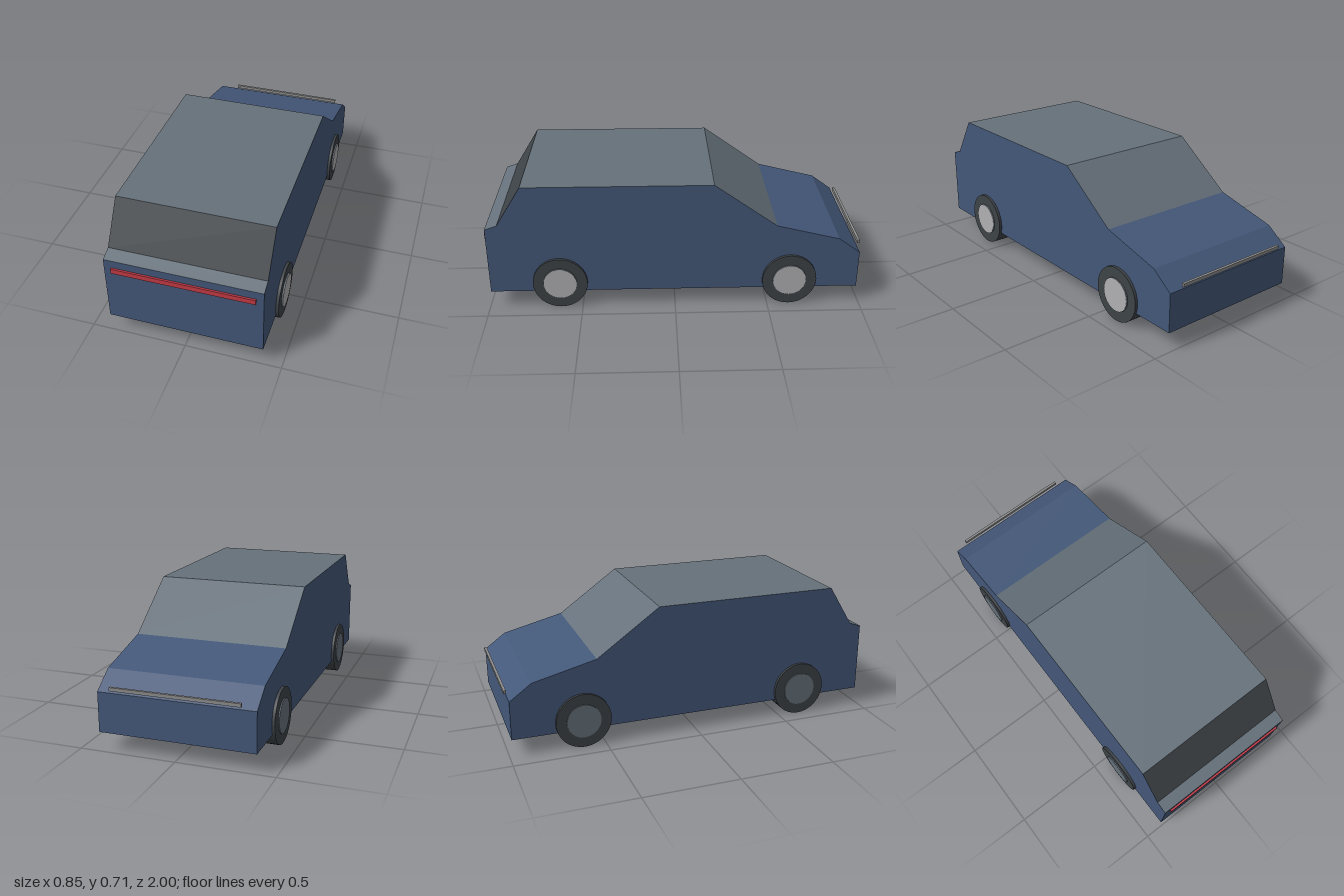
import * as THREE from 'three';

const mat = (name, color, extra = {}) => {
  const m = new THREE.MeshStandardMaterial({ color, ...extra });
  m.name = name;
  return m;
};

export function createModel() {
  const paint = mat('bluePaint', 0x445879);
  const slate = mat('slateGrey', 0x66717b);
  const dark = mat('darkRubber', 0x3e4347);
  const silver = mat('silver', 0xb0b0b3);
  const red = mat('lampRed', 0xc43a45);
  const chrome = mat('trimGrey', 0x8c8c8c);

  const car = new THREE.Group();
  car.name = 'car';
  const add = (name, geometry, material, parent = car) => {
    const mesh = new THREE.Mesh(geometry, material);
    mesh.name = name;
    parent.add(mesh);
    return mesh;
  };

  // Body outline as [z, y], with the panel that starts at each point
  const W = 0.403;
  const outline = [
    [0.99, 0.093, 'endPanel', paint],
    [0.99, 0.468, 'ledge', slate],
    [0.925, 0.49, 'steepWindow', dark],
    [0.79, 0.706, 'roof', slate],
    [-0.2, 0.706, 'windshield', slate],
    [-0.535, 0.467, 'hood', paint],
    [-0.87, 0.384, 'nose', paint],
    [-0.985, 0.3, 'nosePanel', paint],
    [-0.985, 0.093, 'underside', dark],
  ];

  // Flat panels across the width of the body
  outline.forEach(([z1, y1, name, material], i) => {
    const [z2, y2] = outline[(i + 1) % outline.length];
    const g = new THREE.BufferGeometry();
    g.setAttribute('position', new THREE.Float32BufferAttribute(
      [-W, y1, z1, W, y1, z1, W, y2, z2, -W, y2, z2], 3));
    g.setIndex([0, 1, 2, 0, 2, 3]);
    g.computeVertexNormals();
    add(name, g, material);
  });

  // Body sides
  for (const s of [1, -1]) {
    const shape = new THREE.Shape(outline.map(([z, y]) => new THREE.Vector2(-s * z, y)));
    const g = new THREE.ShapeGeometry(shape).rotateY(s * Math.PI / 2).translate(s * W, 0, 0);
    add(s > 0 ? 'leftSide' : 'rightSide', g, paint);
  }

  // Wheels: tyre, hub and, on the left, a bright hub plate
  const disc = (r, inner, outer, s) => new THREE.CylinderGeometry(r, r, outer - inner, 32)
    .rotateZ(-s * Math.PI / 2).translate(s * (inner + outer) / 2, 0, 0);
  const rubber = dark;
  for (const s of [1, -1]) {
    for (const z of [0.615, -0.615]) {
      const wheel = new THREE.Group();
      wheel.name = 'wheel';
      wheel.position.set(0, 0.146, z);
      add('tyre', disc(0.146, 0.312, 0.418, s), rubber, wheel);
      add('hub', disc(0.09, 0.4, 0.424, s), slate, wheel);
      if (s > 0) add('hubPlate', disc(0.088, 0.423, 0.4255, s), silver, wheel);
      car.add(wheel);
    }
  }

  // Lamp strip and trim bar at the two ends
  add('lampStrip', new THREE.BoxGeometry(0.73, 0.028, 0.012), red).position.set(0, 0.41, 0.994);
  add('trimBar', new THREE.BoxGeometry(0.664, 0.018, 0.014), chrome).position.set(0, 0.325, -0.993);

  return car;
}
